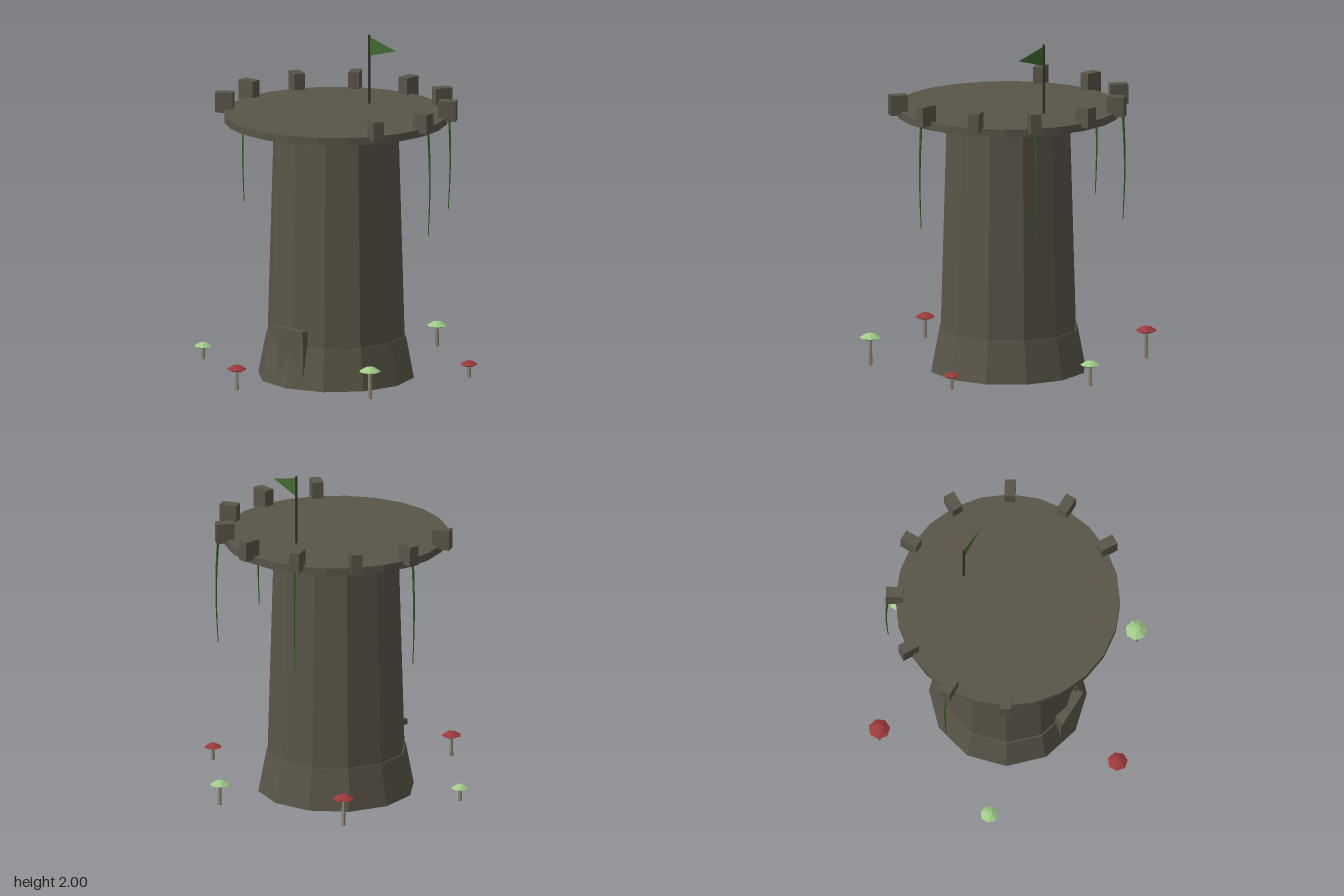
import * as THREE from 'three';

const mat = (name, color) => {
  const m = new THREE.MeshStandardMaterial({ color });
  m.name = name;
  return m;
};

// Faceted normals for low-poly parts
const flat = (geo) => {
  const g = geo.index ? geo.toNonIndexed() : geo;
  g.computeVertexNormals();
  return g;
};

export function createModel() {
  const stone = mat('stone', 0x5a5548);
  const red = mat('red cap', 0x9c3a3a);
  const paleGreen = mat('pale green cap', 0xa0cc88);
  const stemMat = mat('mushroom stem', 0x8f8877);
  const vineMat = mat('vine green', 0x35602a);
  const flagMat = mat('flag green', 0x42692f);
  flagMat.side = THREE.DoubleSide;
  const wood = mat('dark wood', 0x39332a);

  const model = new THREE.Group();
  const add = (name, geo, material, x, y, z, parent = model) => {
    const mesh = new THREE.Mesh(geo, material);
    mesh.name = name;
    mesh.position.set(x, y, z);
    parent.add(mesh);
    return mesh;
  };

  // Tower body
  add('towerBase', flat(new THREE.CylinderGeometry(0.417, 0.465, 0.25, 12)), stone, 0, 0.125, 0);
  add('towerShaft', flat(new THREE.CylinderGeometry(0.372, 0.41, 1.32, 12)), stone, 0, 0.89, 0);
  add('roofDeck', flat(new THREE.CylinderGeometry(0.662, 0.662, 0.046, 24)), stone, 0, 1.563, 0);

  // Doorway
  add('door', new THREE.BoxGeometry(0.2, 0.31, 0.04), stone, 0, 0.185, 0.406);
  add('doorLintel', new THREE.BoxGeometry(0.234, 0.034, 0.04), stone, 0, 0.338, 0.43);

  // Battlements around the deck, open at the front
  const merlonGeo = new THREE.BoxGeometry(0.065, 0.12, 0.105);
  for (let i = 2; i <= 10; i++) {
    const a = (i * Math.PI) / 6;
    const merlon = add('merlon', merlonGeo, stone, 0.667 * Math.sin(a), 1.625, 0.667 * Math.cos(a));
    merlon.rotation.y = a;
  }

  // Hanging vines: thin tapered strands that bow outward
  const length = 0.64;
  const strand = new THREE.CylinderGeometry(0.008, 0.0025, length, 5, 8);
  const p = strand.attributes.position;
  for (let i = 0; i < p.count; i++) {
    const t = 0.5 - p.getY(i) / length;
    p.setZ(i, p.getZ(i) + 0.012 * Math.sin(Math.PI * t));
  }
  const vineGeo = flat(strand);
  for (const deg of [90, 150, 210, 270]) {
    const a = THREE.MathUtils.degToRad(deg);
    const vine = add('vine', vineGeo, vineMat, 0.705 * Math.sin(a), 1.265, 0.705 * Math.cos(a));
    vine.rotation.y = a;
  }

  // Flag and pole
  add('flagPole', new THREE.CylinderGeometry(0.008, 0.008, 0.42, 6), wood, 0, 1.79, -0.305);
  const pennant = new THREE.Shape([
    new THREE.Vector2(0, 0.058), new THREE.Vector2(0, -0.058), new THREE.Vector2(0.205, 0),
  ]);
  add('flag', new THREE.ShapeGeometry(pennant), flagMat, 0, 1.932, -0.305);

  // Mushrooms: x, z, rim radius, rim height, cap material
  const mushrooms = [
    [0.1, -0.81, 0.06, 0.165, paleGreen],
    [-0.655, -0.49, 0.065, 0.206, red],
    [0.755, -0.315, 0.053, 0.118, red],
    [-0.75, 0.325, 0.053, 0.118, paleGreen],
    [0.66, 0.485, 0.065, 0.206, paleGreen],
    [-0.09, 0.81, 0.06, 0.165, red],
  ];
  for (const [x, z, r, rim, capMat] of mushrooms) {
    const mushroom = new THREE.Group();
    mushroom.name = 'mushroom';
    mushroom.position.set(x, 0, z);
    const stemH = rim - 0.04;
    add('mushroomStem', flat(new THREE.CylinderGeometry(0.01, 0.013, stemH, 6)), stemMat, 0, 0.04 + stemH / 2, 0, mushroom);
    const profile = [[0, -0.25], [0.45, -0.2], [1, 0], [0.42, 0.37], [0, 0.45]]
      .map(([u, v]) => new THREE.Vector2(u * r, v * r));
    const cap = add('mushroomCap', flat(new THREE.LatheGeometry(profile, 7)), capMat, 0, rim, 0, mushroom);
    cap.rotation.y = Math.PI / 2;
    model.add(mushroom);
  }

  return model;
}
